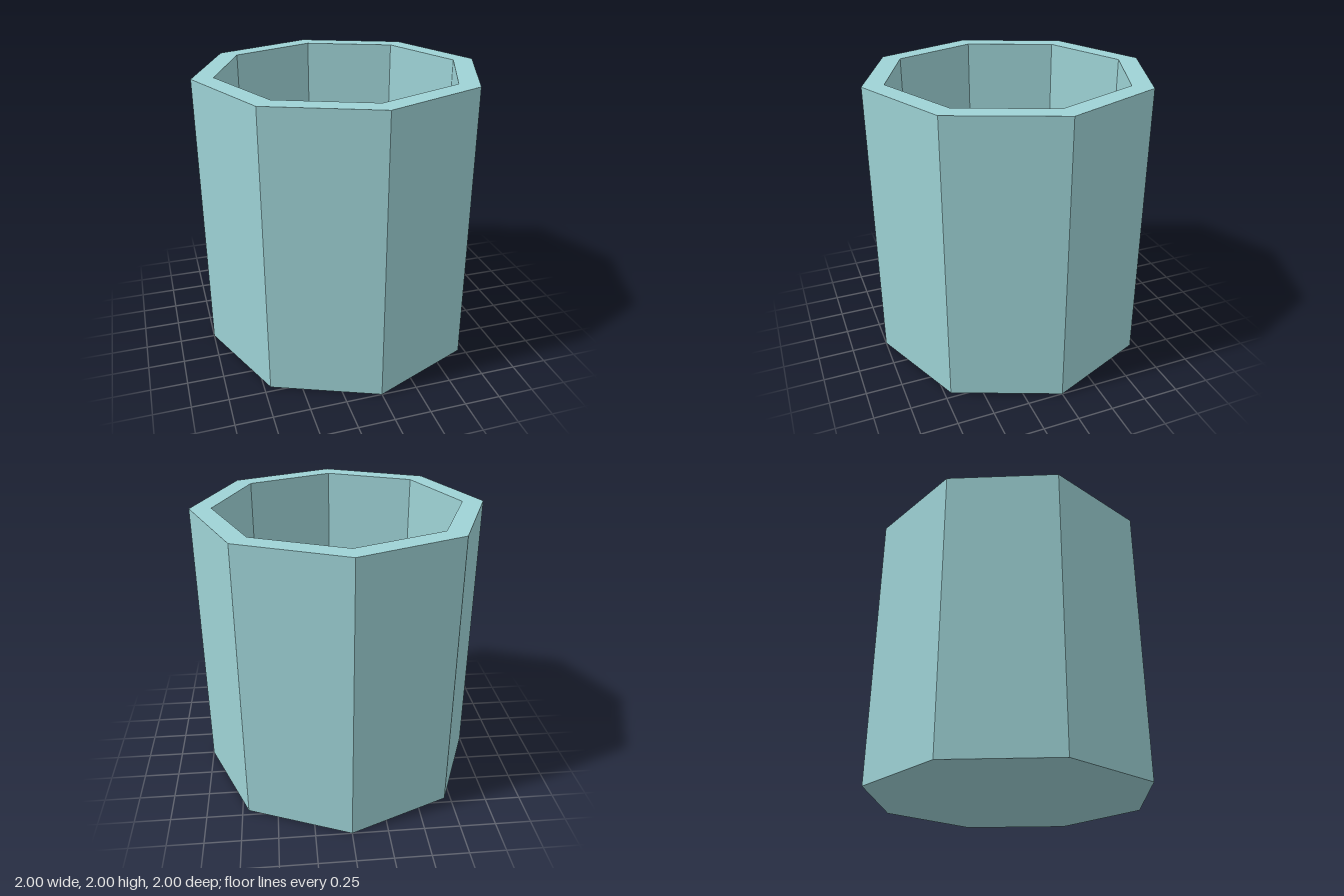
import * as THREE from 'three';

const SIDES = 8, OUTER = 1, INNER = 0.853, HEIGHT = 2, FLOOR = 0.15;

export function createModel() {
  const group = new THREE.Group();
  group.name = 'octagonalPot';
  const material = new THREE.MeshStandardMaterial({ color: 0x9ed3d6, flatShading: true });

  // One closed wall profile: base, outer wall, rim, inner wall, inner floor
  const profile = [
    [0, 0], [OUTER, 0], [OUTER, HEIGHT], [INNER, HEIGHT], [INNER, FLOOR], [0, FLOOR],
  ].map(([r, y]) => new THREE.Vector2(r, y));

  const pot = new THREE.Mesh(new THREE.LatheGeometry(profile, SIDES), material);
  pot.name = 'pot';
  group.add(pot);
  return group;
}
